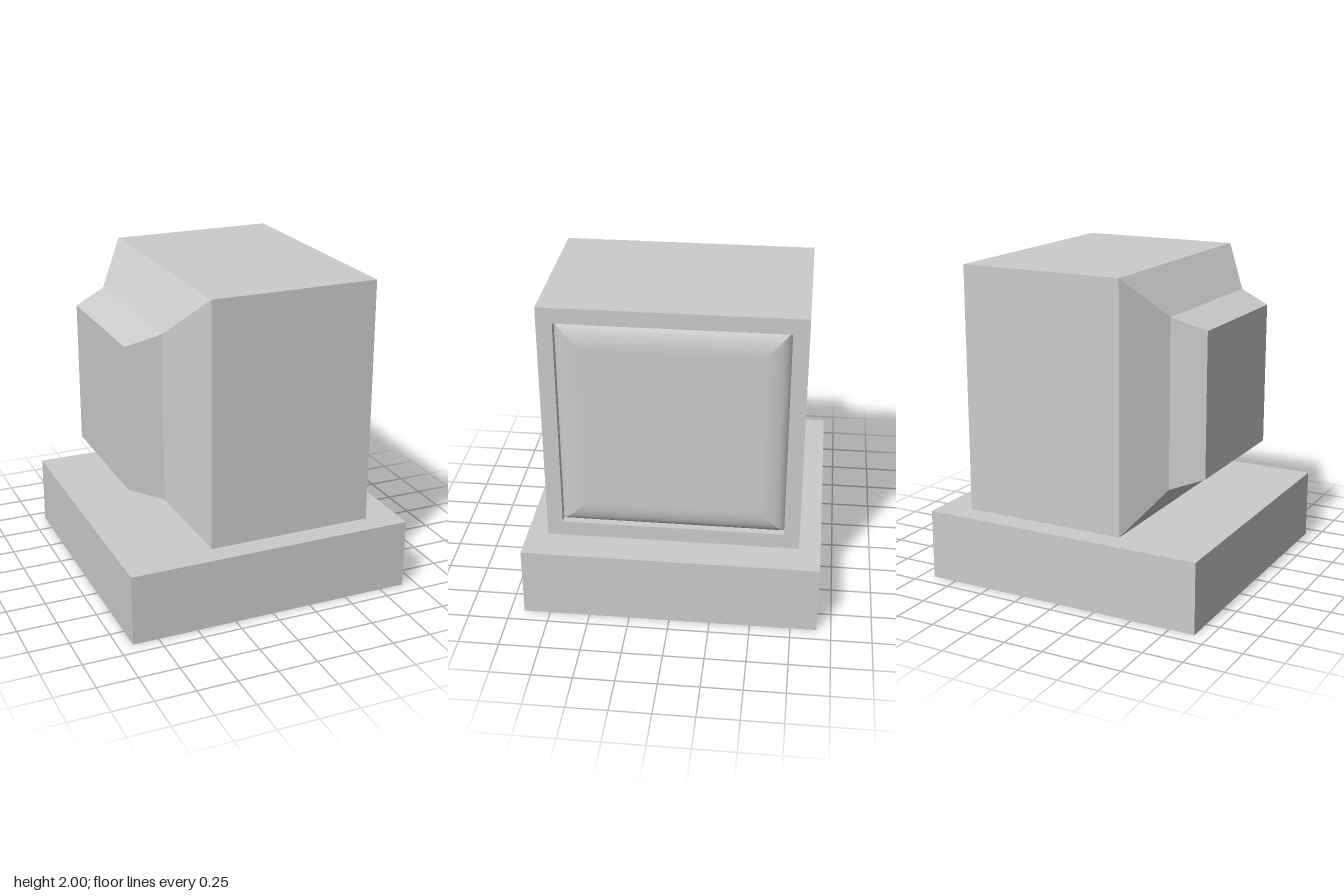
import * as THREE from 'three';
import { mergeGeometries } from 'three/addons/utils/BufferGeometryUtils.js';

// Lofts rectangular sections [x, halfDepth, yLow, yHigh] along x, one strip per side
function loftBox(sections, { smooth = false, startCap = false, endCap = false }) {
  const corners = ([x, h, lo, hi]) => [[x, lo, h], [x, lo, -h], [x, hi, -h], [x, hi, h]];
  const rings = sections.map(corners);
  const build = (points, index) => {
    let g = new THREE.BufferGeometry();
    g.setAttribute('position', new THREE.Float32BufferAttribute(points.flat(), 3));
    g.setIndex(index);
    if (!smooth) g = g.toNonIndexed();
    g.computeVertexNormals();
    return smooth ? g.toNonIndexed() : g;
  };
  const parts = [];
  for (let side = 0; side < 4; side++) {
    const points = [], index = [];
    rings.forEach((ring, k) => {
      points.push(ring[side], ring[(side + 1) % 4]);
      if (k > 0) {
        const a = 2 * (k - 1), b = 2 * k;
        index.push(a, a + 1, b + 1, a, b + 1, b);
      }
    });
    parts.push(build(points, index));
  }
  if (startCap) parts.push(build(rings[0], [0, 2, 1, 0, 3, 2]));
  if (endCap) parts.push(build(rings[rings.length - 1], [0, 1, 2, 0, 2, 3]));
  return mergeGeometries(parts);
}

export function createModel() {
  const model = new THREE.Group();
  model.name = 'computer';
  const grey = new THREE.MeshStandardMaterial({ color: 0xcccccc });
  grey.name = 'grey';

  const add = (name, geometry) => {
    const mesh = new THREE.Mesh(geometry, grey);
    mesh.name = name;
    model.add(mesh);
    return mesh;
  };

  // Flat square case under the monitor
  add('baseCase', new THREE.BoxGeometry(1.824, 0.444, 1.824)).position.y = 0.222;

  // Monitor shell: stepped back, square body, bezel and recess wall
  add('monitorShell', loftBox([
    [-0.757, 0.453, 0.777, 1.676],
    [-0.553, 0.526, 0.702, 1.75],
    [-0.353, 0.78, 0.45, 2],
    [0.7, 0.78, 0.45, 2],
    [0.7, 0.684, 0.547, 1.903],
    [0.65, 0.684, 0.547, 1.903],
  ], { startCap: true }));

  // Screen glass: rounded rim rising to a flat face, [inset, x]
  const rim = [[0, 0.65], [0.012, 0.669], [0.03, 0.684], [0.05, 0.694],
    [0.073, 0.702], [0.1, 0.708], [0.125, 0.711], [0.15, 0.712]];
  add('screen', loftBox(
    rim.map(([d, x]) => [x, 0.684 - d, 0.547 + d, 1.903 - d]),
    { smooth: true, endCap: true },
  ));

  return model;
}
